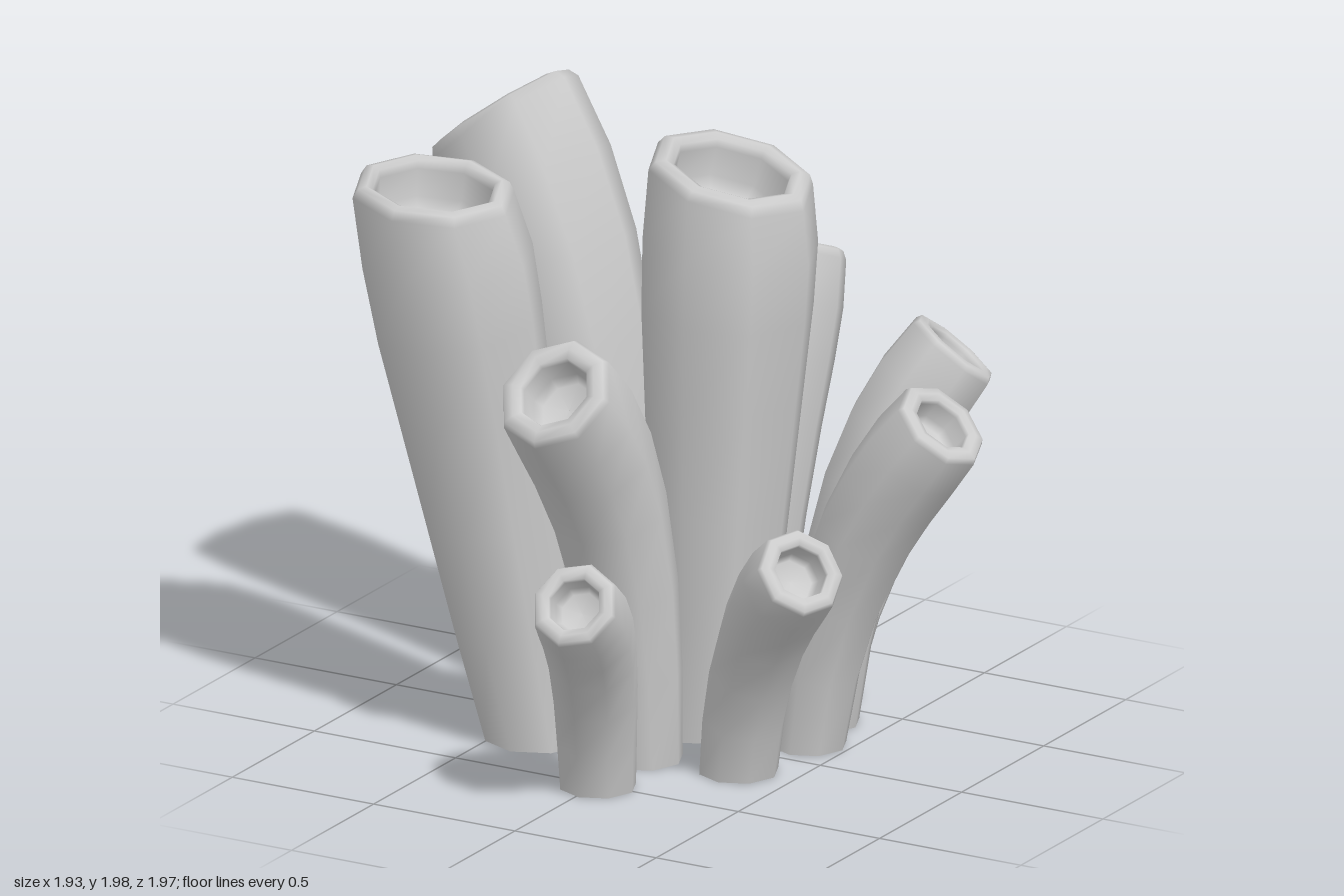
import * as THREE from 'three';

const SIDES = 8;
const UP = new THREE.Vector3(0, 1, 0);

// Centre line: straight at bend 0; at bend 1 it rises first, then turns towards the mouth
function centreLine(start, end, mouthDir, bend) {
  const low = start.clone().lerp(end, THREE.MathUtils.lerp(0.33, 0.1, bend));
  low.y = end.y * THREE.MathUtils.lerp(0.33, 0.45, bend);
  const curved = end.clone().addScaledVector(mouthDir, -0.35 * end.y);
  const high = start.clone().lerp(end, 0.66).lerp(curved, bend);
  return new THREE.CubicBezierCurve3(start, low, high, end);
}

// One tube: base [x, z], mouth centre [x, y, z], mouth lean [x, z] per unit of height,
// radii of the foot and the swollen top, hole size relative to the top
function tubeGeometry(base, top, lean, baseRadius, topRadius, hole, bend) {
  const start = new THREE.Vector3(base[0], 0, base[1]);
  const end = new THREE.Vector3(...top);
  const mouthDir = new THREE.Vector3(lean[0], 1, lean[1]).normalize();
  const curve = centreLine(start, end, mouthDir, bend);
  const positions = [];
  const index = [];

  const addRing = (centre, normal, radius) => {
    const turn = new THREE.Quaternion().setFromUnitVectors(UP, normal);
    for (let j = 0; j < SIDES; j++) {
      const a = (j / SIDES) * Math.PI * 2;
      const p = new THREE.Vector3(Math.cos(a), 0, -Math.sin(a)).multiplyScalar(radius);
      p.applyQuaternion(turn).add(centre);
      positions.push(p.x, p.y, p.z);
    }
  };

  // Wall, open at the foot and swelling towards the top
  for (const t of [0, 0.2, 0.4, 0.6, 0.75, 0.87]) {
    const normal = t === 0 ? UP : curve.getTangentAt(t);
    if (t > 0.8) normal.add(mouthDir).normalize();
    addRing(curve.getPointAt(t), normal, THREE.MathUtils.lerp(baseRadius, topRadius, Math.min(1, t / 0.8)));
  }

  // Rolled lip and hollow: [radius, height above the mouth], in top radii
  const lip = [
    [0.95, -0.13], [0.89, -0.02], [(0.89 + hole) / 2, 0.01], [hole + 0.02, -0.03], [hole, -0.12],
    [hole * 0.97, -0.45], [hole * 0.8, -0.6], [0.001, -0.63],
  ];
  for (const [r, h] of lip) {
    addRing(end.clone().addScaledVector(mouthDir, h * topRadius), mouthDir, r * topRadius);
  }

  const rings = positions.length / 3 / SIDES;
  for (let i = 0; i < rings - 1; i++) {
    for (let j = 0; j < SIDES; j++) {
      const a = i * SIDES + j;
      const b = i * SIDES + ((j + 1) % SIDES);
      index.push(a, b, b + SIDES, a, b + SIDES, a + SIDES);
    }
  }

  const geometry = new THREE.BufferGeometry();
  geometry.setAttribute('position', new THREE.Float32BufferAttribute(positions, 3));
  geometry.setIndex(index);
  geometry.computeVertexNormals();
  return geometry;
}

export function createModel() {
  const group = new THREE.Group();
  group.name = 'tubeSponge';
  const material = new THREE.MeshStandardMaterial({ color: 0xcccccc, side: THREE.DoubleSide });
  const addTube = (name, base, top, lean, baseRadius, topRadius, hole = 0.57, bend = 1) => {
    const mesh = new THREE.Mesh(tubeGeometry(base, top, lean, baseRadius, topRadius, hole, bend), material);
    mesh.name = name;
    group.add(mesh);
  };

  // Tall, nearly straight tubes with wide mouths
  addTube('centreTube', [0.03, -0.14], [0.105, 1.825, -0.15], [0.26, 0], 0.17, 0.28, 0.66, 0);
  addTube('frontRightTube', [-0.385, 0.2], [-0.605, 1.825, 0.45], [0.1, 0.04], 0.165, 0.27, 0.7, 0);
  addTube('backTube', [-0.07, -0.48], [-0.1, 1.365, -0.79], [-0.03, -0.41], 0.14, 0.23, 0.74, 0.7);
  addTube('rightLeaningTube', [-0.3, -0.15], [-0.78, 1.835, -0.25], [-0.8, -0.08], 0.165, 0.275, 0.64, 0.7);

  // Shorter tubes that bend outwards
  addTube('frontTube', [-0.01, 0.21], [-0.08, 1.3, 0.63], [-0.07, 0.99], 0.13, 0.2);
  addTube('smallFrontTube', [0.01, 0.51], [0.155, 0.735, 0.91], [0.2, 1.3], 0.12, 0.147);
  addTube('frontLeftTube', [0.31, 0.17], [0.68, 0.785, 0.42], [1.13, 0.67], 0.125, 0.15);
  addTube('leftTube', [0.37, -0.155], [0.85, 1.125, -0.15], [0.86, 0], 0.118, 0.165);
  addTube('backLeftTube', [0.3, -0.36], [0.63, 1.2, -0.605], [0.66, -0.53], 0.115, 0.168);
  addTube('smallBackTube', [0.2, -0.57], [0.28, 0.59, -0.89], [0.18, -1.5], 0.1, 0.12);
  return group;
}
